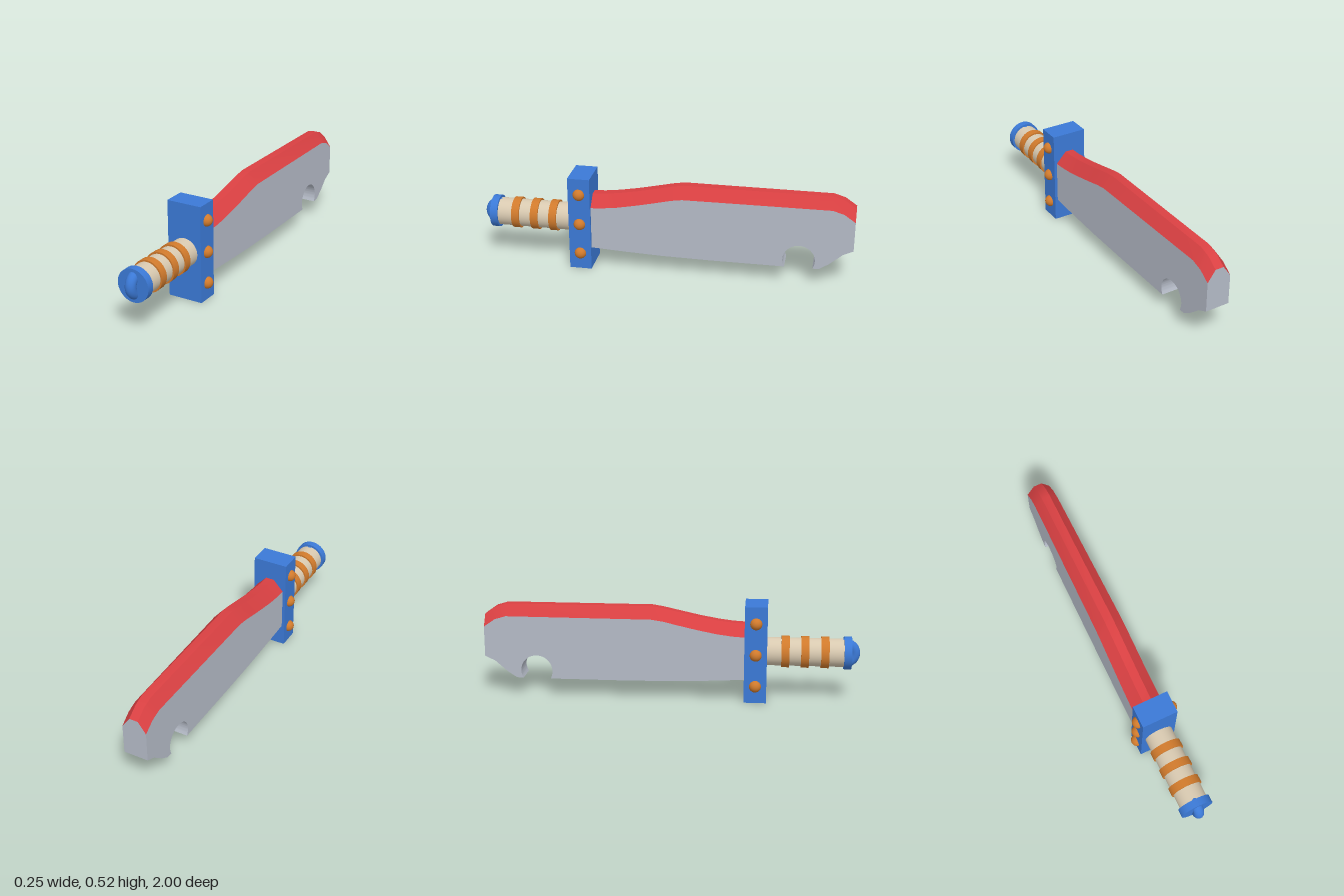
import * as THREE from 'three';
import { toCreasedNormals } from 'three/addons/utils/BufferGeometryUtils.js';

const material = (name, color, side = THREE.FrontSide) => {
  const m = new THREE.MeshStandardMaterial({ color, side });
  m.name = name;
  return m;
};

export function createModel() {
  const blue = material('blue', 0x3b79d6);
  const orange = material('orange', 0xd07a2c);
  const red = material('red', 0xd94042);
  const steel = material('steel grey', 0xb4bac6);
  const beige = material('beige', 0xd8c9b0);

  const model = new THREE.Group();
  model.name = 'toyKnife';
  const add = (name, geometry, mat, x = 0, y = 0, z = 0) => {
    const mesh = new THREE.Mesh(geometry, mat);
    mesh.name = name;
    mesh.position.set(x, y, z);
    model.add(mesh);
    return mesh;
  };
  const AXIS = 0.261;

  // Cylinder along z between two depths, on the handle axis
  const rod = (name, radius, z0, z1, mat) =>
    add(name, new THREE.CylinderGeometry(radius, radius, z1 - z0, 40).rotateX(Math.PI / 2),
      mat, 0, AXIS, (z0 + z1) / 2);

  // Handle with grip bands, end cap and half-sunk loop
  rod('handle', 0.075, 0.5, 0.92, beige);
  for (const z of [0.607, 0.71, 0.815]) rod('gripBand', 0.084, z - 0.021, z + 0.021, orange);
  rod('endCap', 0.087, 0.914, 0.954, blue);
  add('endLoop', new THREE.TorusGeometry(0.0495, 0.0277, 20, 40).rotateY(Math.PI / 2),
    blue, 0, AXIS, 0.923);

  // Guard with three studs on each side
  add('guard', new THREE.BoxGeometry(0.192, 0.521, 0.119), blue, 0, 0.2605, 0.451);
  for (const side of [-1, 1]) {
    for (const y of [0.091, 0.261, 0.431]) {
      add('stud', new THREE.SphereGeometry(0.032, 24, 16), orange, side * 0.093, y, 0.451);
    }
  }

  // Spine stations: [z, height of the bevel's lower edge, height of the top]
  const spine = [
    [0.4, 0.353, 0.414], [0.33, 0.357, 0.418], [0.25, 0.367, 0.428], [0.15, 0.386, 0.446],
    [0.05, 0.408, 0.468], [-0.04, 0.429, 0.488], [-0.1, 0.438, 0.498], [-0.88, 0.438, 0.498],
    [-0.94, 0.42, 0.48], [-1, 0.378, 0.438],
  ];
  const halfWidth = z => 0.0758 + 0.0108 * z;

  // Blade body: side outline with a round notch, thinned towards the tip
  const shape = new THREE.Shape();
  spine.forEach(([z, y], i) => (i ? shape.lineTo(-z, y) : shape.moveTo(-z, y)));
  for (const [s, y] of [[1, 0.216], [0.945, 0.19], [0.88, 0.133], [0.83, 0.1], [0.794, 0.098]]) {
    shape.lineTo(s, y);
  }
  const notch = Math.asin(0.042 / 0.085);
  shape.absarc(0.72, 0.14, 0.085, -notch, Math.PI + notch, false);
  for (const [s, y] of [[0.25, 0.099], [0, 0.103], [-0.2, 0.111], [-0.4, 0.122]]) shape.lineTo(s, y);
  shape.closePath();
  const body = new THREE.ExtrudeGeometry(shape, { depth: 2, bevelEnabled: false, curveSegments: 28 });
  body.translate(0, 0, -1).rotateY(Math.PI / 2);
  const p = body.attributes.position;
  for (let i = 0; i < p.count; i++) p.setX(i, p.getX(i) * halfWidth(p.getZ(i)));
  add('blade', toCreasedNormals(body, 0.5), steel);

  // Bevelled spine: a trapezoid swept along the stations, with a grey tip face
  const points = [], faces = [];
  for (const [z, low, top] of spine) {
    const w = halfWidth(z);
    points.push(-w, low, z, -0.023, top, z, 0.023, top, z, w, low, z);
  }
  for (let i = 0; i < spine.length - 1; i++) {
    for (let j = 0; j < 3; j++) {
      const a = i * 4 + j;
      faces.push(a, a + 1, a + 5, a, a + 5, a + 4);
    }
  }
  const surface = (vertices, index) => {
    const g = new THREE.BufferGeometry();
    g.setAttribute('position', new THREE.Float32BufferAttribute(vertices, 3));
    g.setIndex(index);
    g.computeVertexNormals();
    return toCreasedNormals(g, 0.4);
  };
  add('spineBevel', surface(points, faces), red);
  add('tipFace', surface(points.slice(-12), [0, 1, 2, 0, 2, 3]), steel);

  return model;
}
